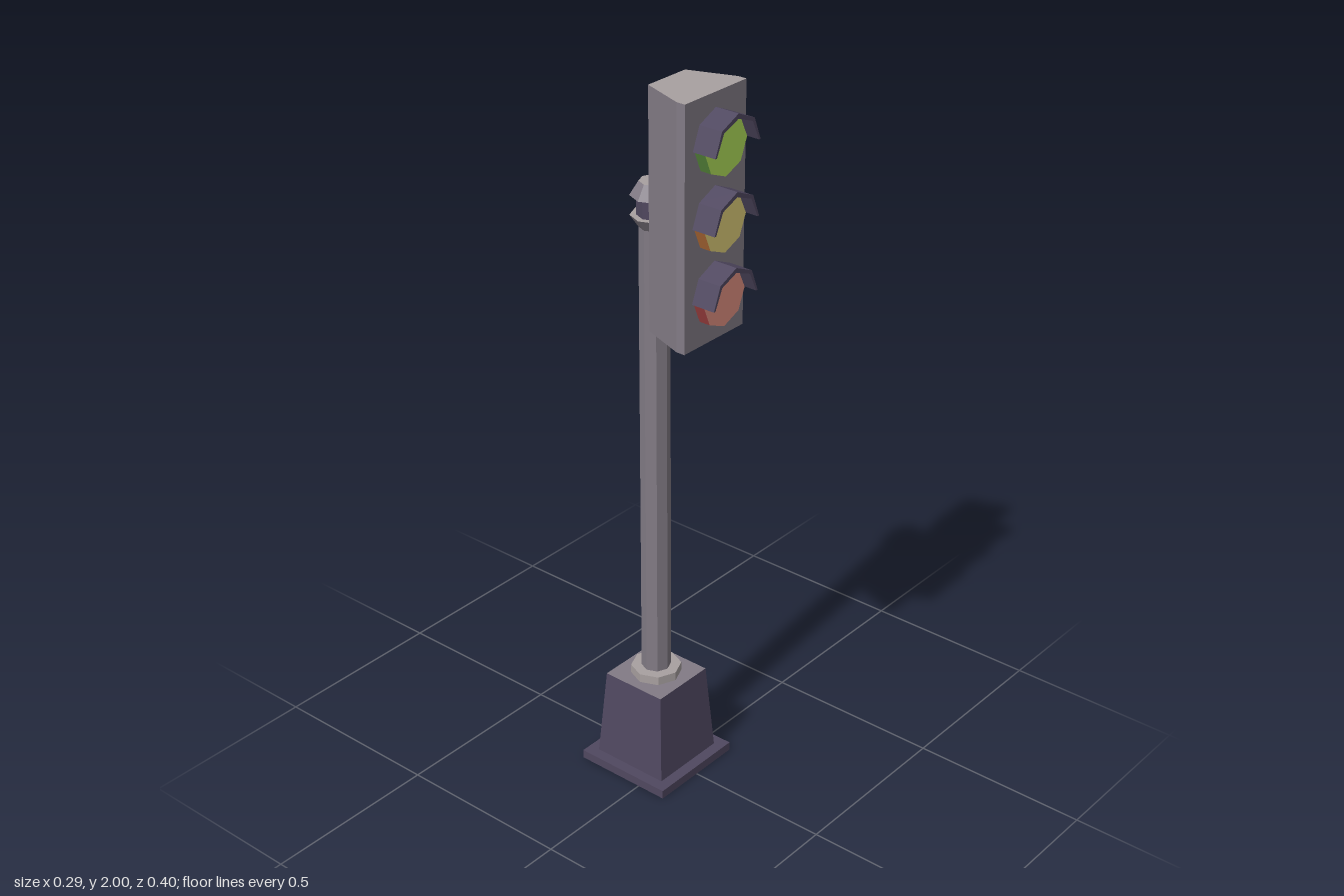
import * as THREE from 'three';

const paint = (color) => new THREE.MeshStandardMaterial({ color, flatShading: true });

export function createModel() {
  const model = new THREE.Group();
  const dark = paint(0x504860), grey = paint(0x827b85), light = paint(0xa8a0a0);
  const poleZ = -0.058;

  const add = (name, geometry, material, parent = model) => {
    const mesh = new THREE.Mesh(geometry, material);
    mesh.name = name;
    parent.add(mesh);
    return mesh;
  };

  // Octagonal section on the pole axis; materials are side, top, bottom
  const section = (name, y0, y1, rBottom, rTop, materials) => {
    const g = new THREE.CylinderGeometry(rTop, rBottom, y1 - y0, 8);
    g.translate(0, (y0 + y1) / 2, poleZ);
    return add(name, g, materials);
  };

  // Foot: square slab and tapered plinth
  const slab = new THREE.BoxGeometry(0.29, 0.025, 0.29);
  slab.translate(0, 0.0125, poleZ);
  add('baseSlab', slab, dark);

  const plinth = new THREE.CylinderGeometry(0.096 * Math.SQRT2, 0.114 * Math.SQRT2, 0.255, 4);
  plinth.rotateY(Math.PI / 4);
  plinth.translate(0, 0.1525, poleZ);
  add('plinth', plinth, [dark, grey, dark]);

  // Pole with foot collar and flared finial
  section('poleCollar', 0.28, 0.305, 0.069, 0.069, [light, light, dark]);
  section('pole', 0.305, 1.61, 0.04, 0.04, grey);
  section('finialCup', 1.606, 1.638, 0.04, 0.062, [grey, light, dark]);
  section('finialBand', 1.638, 1.69, 0.045, 0.045, dark);
  section('finialCap', 1.69, 1.727, 0.062, 0.039, [grey, light, dark]);

  // Signal housing: tapered plan extruded upwards
  const plan = new THREE.Shape([
    [-0.114, -0.133], [0.114, -0.133], [0.114, -0.108],
    [0.068, 0.018], [-0.068, 0.018], [-0.114, -0.108],
  ].map(([x, y]) => new THREE.Vector2(x, y)));
  const housing = new THREE.ExtrudeGeometry(plan, { depth: 0.645, bevelEnabled: false });
  housing.rotateX(-Math.PI / 2);
  housing.translate(0, 1.355, 0);
  // Separate paint for underside, roof and walls
  housing.clearGroups();
  housing.addGroup(0, 12, 0);
  housing.addGroup(12, 12, 1);
  housing.addGroup(24, housing.attributes.position.count - 24, 2);
  add('housing', housing, [dark, light, grey]);

  // Visor profile: half octagon, thickest at the crown
  const arc = (radii) => radii.map((r, i) => {
    const a = (i * Math.PI) / 4;
    return new THREE.Vector2(Math.cos(a) * r, Math.sin(a) * r);
  });
  const visorShape = new THREE.Shape([
    ...arc([0.085, 0.086, 0.088, 0.086, 0.085]),
    ...arc([0.079, 0.076, 0.075, 0.076, 0.079]).reverse(),
  ]);
  const visorGeometry = new THREE.ExtrudeGeometry(visorShape, { depth: 0.07, bevelEnabled: false });
  visorGeometry.translate(0, 0, 0.131);

  const lensGeometry = new THREE.CylinderGeometry(0.079, 0.079, 0.034, 8);
  lensGeometry.rotateX(Math.PI / 2);
  lensGeometry.translate(0, 0, 0.148);

  // Three lamps: face colour and rim colour
  [
    ['greenLamp', 1.874, 0xb0dc5a, 0x5d9040],
    ['amberLamp', 1.677, 0xdccc78, 0xb87038],
    ['redLamp', 1.48, 0xe09080, 0xa84444],
  ].forEach(([name, y, face, rim]) => {
    const lamp = new THREE.Group();
    lamp.name = name;
    lamp.position.y = y;
    add('lens', lensGeometry, [paint(rim), paint(face), paint(rim)], lamp);
    add('visor', visorGeometry, dark, lamp);
    model.add(lamp);
  });

  return model;
}
